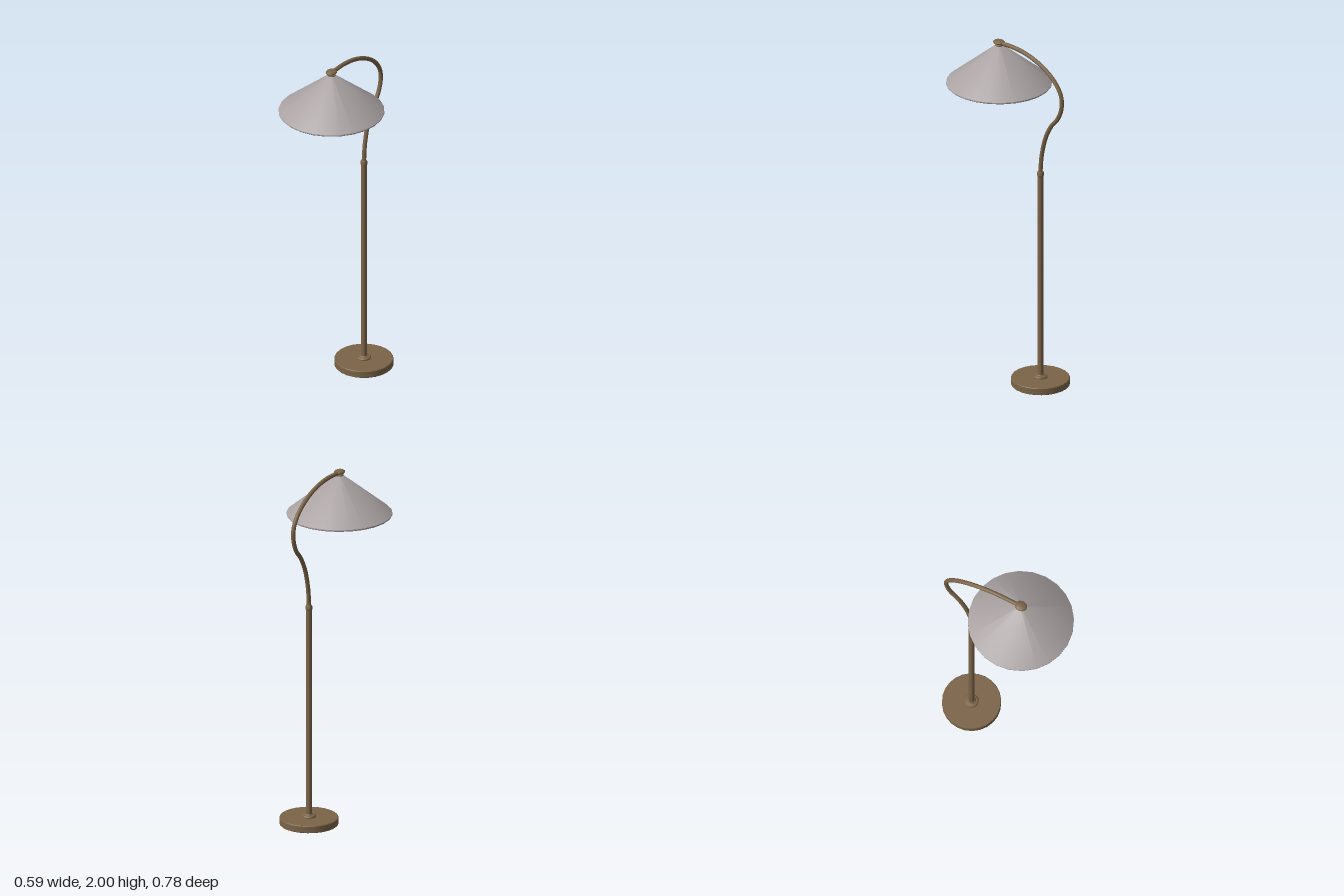
import * as THREE from 'three';
import { toCreasedNormals } from 'three/addons/utils/BufferGeometryUtils.js';

const POLE_Z = -0.216, SHADE_Z = 0.095;

export function createModel() {
  const lamp = new THREE.Group();
  lamp.name = 'floorLamp';

  const material = (name, color) => {
    const m = new THREE.MeshStandardMaterial({ color });
    m.name = name;
    return m;
  };
  const bronze = material('bronze', 0x7b6447);
  const shadeGrey = material('shade grey', 0xaaa2a2);
  const bulbWhite = material('bulb white', 0xe6e6e6);

  const add = (name, geometry, mat, z = 0) => {
    const mesh = new THREE.Mesh(geometry, mat);
    mesh.name = name;
    mesh.position.z = z;
    lamp.add(mesh);
    return mesh;
  };
  // Turned part from [radius, height] pairs, sharp where the profile bends
  const turned = (name, profile, mat, z, sides = 24) => {
    const points = profile.map(([r, y]) => new THREE.Vector2(r, y));
    return add(name, toCreasedNormals(new THREE.LatheGeometry(points, sides), 0.6), mat, z);
  };

  // Hollow weighted base, open underneath
  turned('base', [
    [0, 0.034], [0.157, 0.034], [0.157, 0], [0.162, 0], [0.165, 0.003],
    [0.165, 0.038], [0.162, 0.042], [0, 0.042],
  ], bronze, POLE_Z);
  turned('baseFlange', [
    [0.04, 0.04], [0.04, 0.047], [0.035, 0.053], [0.024, 0.055], [0.02, 0.06], [0, 0.06],
  ], bronze, POLE_Z);

  // Straight pole with a collar at its top
  turned('pole', [[0.017, 0.045], [0.017, 1.268]], bronze, POLE_Z, 16);
  turned('poleCollar', [
    [0.016, 1.264], [0.0195, 1.268], [0.0195, 1.284], [0.016, 1.292], [0.011, 1.294],
  ], bronze, POLE_Z, 16);

  // Gooseneck arm, given as [z, y]
  const armPath = new THREE.CatmullRomCurve3([
    [-0.216, 1.27], [-0.218, 1.32], [-0.227, 1.4], [-0.256, 1.51], [-0.3, 1.594],
    [-0.347, 1.65], [-0.374, 1.72], [-0.373, 1.785], [-0.345, 1.84], [-0.295, 1.89],
    [-0.215, 1.938], [-0.116, 1.972], [-0.02, 1.985], [0.095, 1.983],
  ].map(([z, y]) => new THREE.Vector3(0, y, z)));
  add('arm', new THREE.TubeGeometry(armPath, 80, 0.0122, 12), bronze);

  // Rounded cap where the arm meets the shade
  const cap = add('cap', new THREE.SphereGeometry(1, 20, 12), bronze, SHADE_Z);
  cap.scale.set(0.03, 0.013, 0.036);
  cap.position.y = 1.987;
  turned('capNeck', [
    [0.014, 1.955], [0.022, 1.964], [0.022, 1.97], [0.015, 1.976], [0.015, 1.985],
  ], bronze, SHADE_Z, 16);

  // Conical shade with thickness and a small rolled lip
  turned('shade', [
    [0.014, 1.958], [0.276, 1.752], [0.276, 1.735], [0.292, 1.735],
    [0.296, 1.739], [0.296, 1.745], [0.02, 1.968], [0.012, 1.97],
  ], shadeGrey, SHADE_Z);

  // Socket and bulb under the shade
  turned('socket', [
    [0, 1.865], [0.03, 1.865], [0.03, 1.915], [0.014, 1.935], [0.014, 1.97],
  ], bronze, SHADE_Z, 16);
  add('bulb', new THREE.SphereGeometry(0.076, 24, 16), bulbWhite, SHADE_Z).position.y = 1.815;

  return lamp;
}
